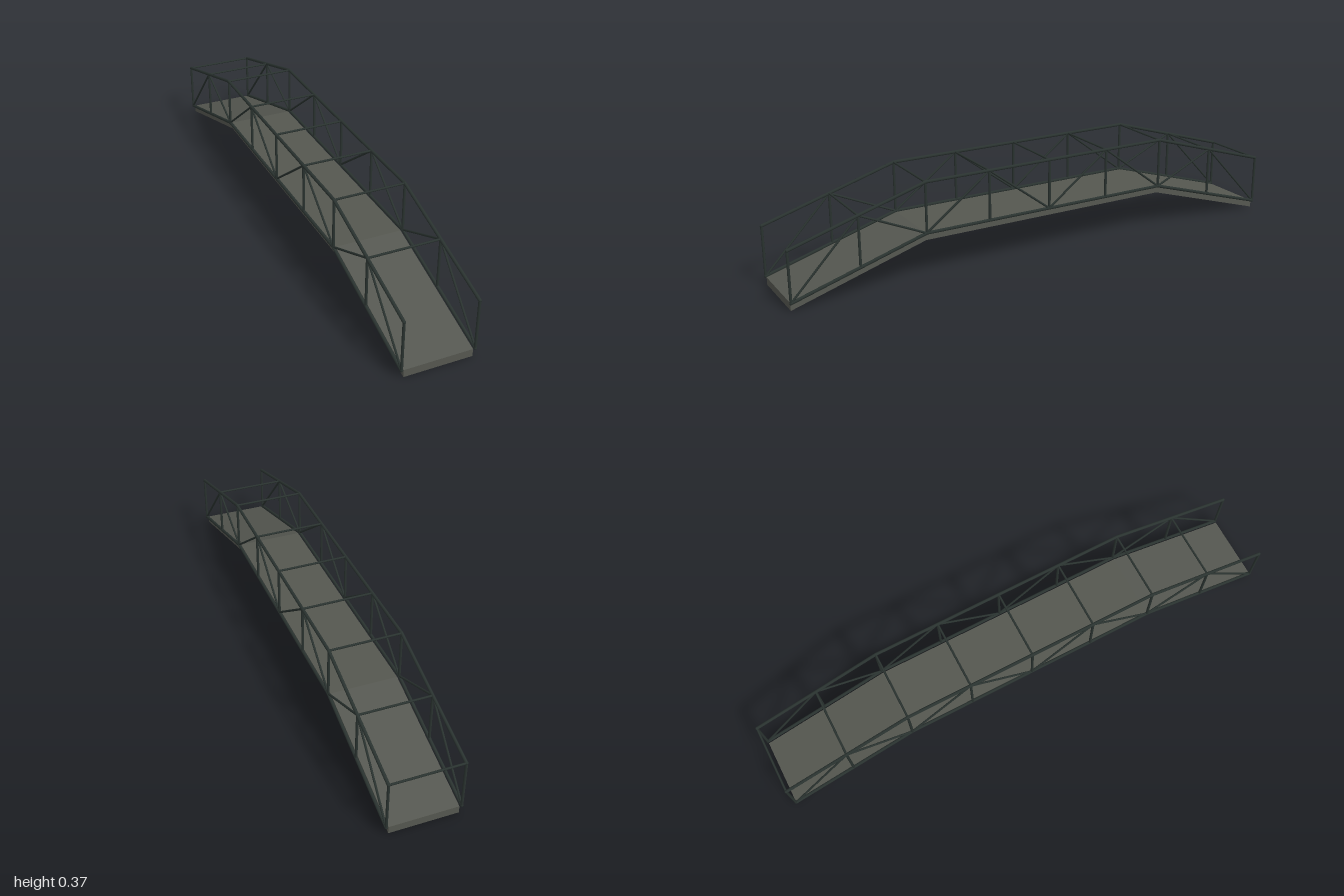
import * as THREE from 'three';

export function createModel() {
  const bridge = new THREE.Group();
  bridge.name = 'footbridge';
  const steel = new THREE.MeshStandardMaterial({ color: 0x2a3330 });
  const paving = new THREE.MeshStandardMaterial({ color: 0x555750 });

  const panel = 0.2485, halfPanels = 4, sideX = 0.132;
  const end = panel * halfPanels;
  // Rise of the deck line: ramps over two panels, then level
  const rise = (i) => 0.149 * Math.min(1, (halfPanels - Math.abs(i)) / 2);
  const low = (x, i) => new THREE.Vector3(x, 0.030 + rise(i), i * panel);
  const high = (x, i) => new THREE.Vector3(x, 0.216 + rise(i), i * panel);

  // Straight round bar between two points
  function bar(parent, name, a, b, radius) {
    const dir = b.clone().sub(a);
    const mesh = new THREE.Mesh(new THREE.CylinderGeometry(radius, radius, dir.length(), 8), steel);
    mesh.position.copy(a).add(b).multiplyScalar(0.5);
    mesh.quaternion.setFromUnitVectors(new THREE.Vector3(0, 1, 0), dir.normalize());
    mesh.name = name;
    parent.add(mesh);
  }

  // Small ball closing the bend of a chord
  function joint(parent, p, radius) {
    const mesh = new THREE.Mesh(new THREE.SphereGeometry(radius, 8, 6), steel);
    mesh.position.copy(p);
    mesh.name = 'chordJoint';
    parent.add(mesh);
  }

  // Deck: side profile extruded across the width
  const bend = panel * 2;
  const profile = new THREE.Shape([
    [-end, 0], [-bend, 0.15], [bend, 0.15], [end, 0],
    [end, 0.028], [bend, 0.177], [-bend, 0.177], [-end, 0.028],
  ].map(([z, y]) => new THREE.Vector2(z, y)));
  const deckGeometry = new THREE.ExtrudeGeometry(profile, { depth: 0.248, bevelEnabled: false });
  deckGeometry.translate(0, 0, -0.124).rotateY(-Math.PI / 2);
  const deck = new THREE.Mesh(deckGeometry, paving);
  deck.name = 'deck';
  bridge.add(deck);

  // Side trusses
  for (const side of [-1, 1]) {
    const truss = new THREE.Group();
    truss.name = side > 0 ? 'leftTruss' : 'rightTruss';
    const x = side * sideX;
    for (const [a, b] of [[-4, -2], [-2, 2], [2, 4]]) {
      bar(truss, 'topChord', high(x, a), high(x, b), 0.006);
      bar(truss, 'bottomChord', low(x, a), low(x, b), 0.006);
    }
    for (const i of [-4, -2, 2, 4]) {
      joint(truss, high(x, i), 0.006);
      joint(truss, low(x, i), 0.006);
    }
    for (let i = -halfPanels; i <= halfPanels; i++) {
      bar(truss, 'post', low(x, i), high(x, i), 0.005);
      if (i === halfPanels) continue;
      // Diagonals zigzag, starting low at each end
      const even = i % 2 === 0;
      bar(truss, 'diagonal', even ? low(x, i) : high(x, i), even ? high(x, i + 1) : low(x, i + 1), 0.004);
    }
    bridge.add(truss);
  }

  // Overhead cross bars; the front end stays open
  for (let i = -halfPanels; i < halfPanels; i++) {
    bar(bridge, 'crossBar', high(-sideX, i), high(sideX, i), 0.004);
  }
  return bridge;
}
